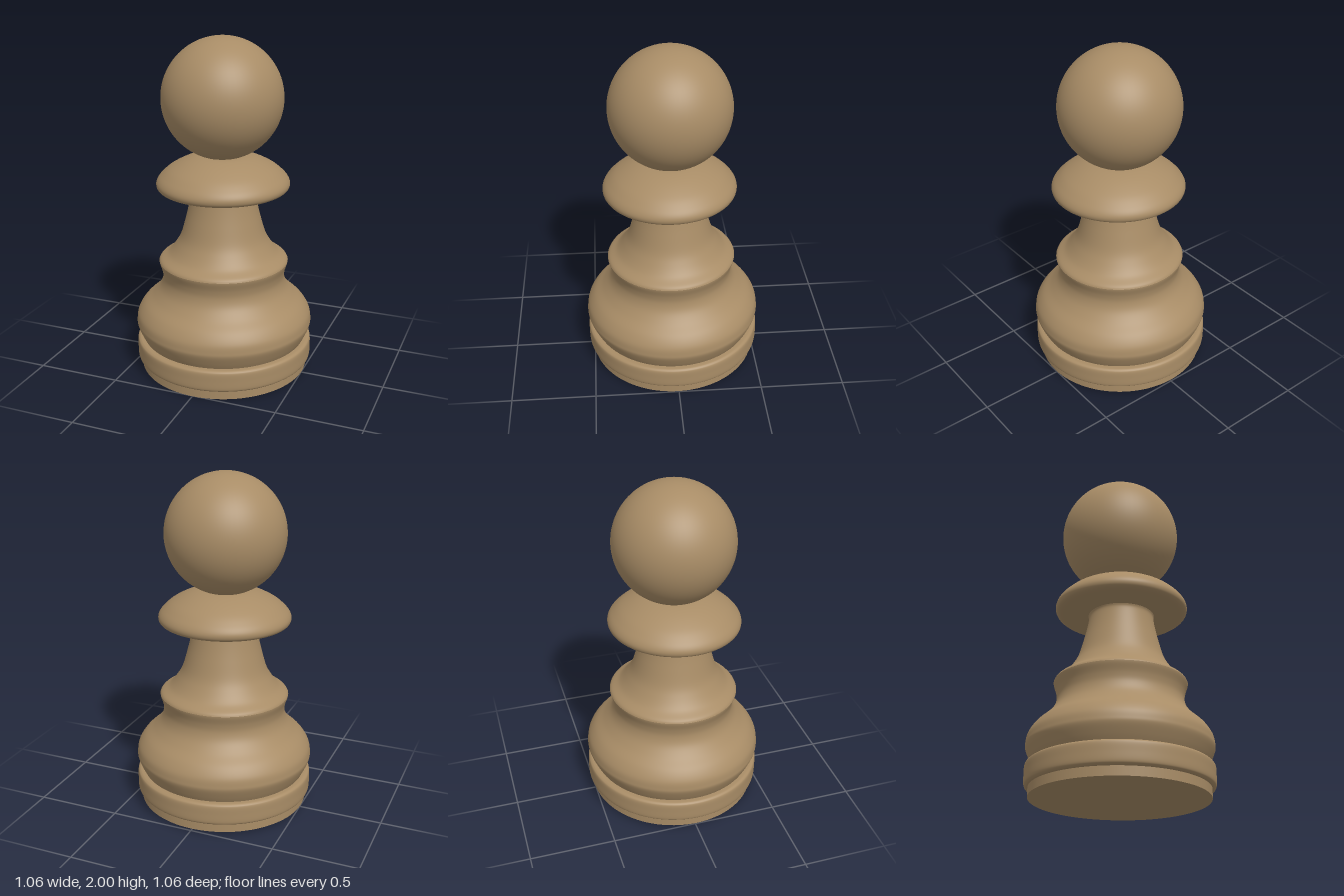
import * as THREE from 'three';

const material = new THREE.MeshStandardMaterial({ color: 0xa88c66 });
const SEGMENTS = 96;

function addMesh(parent, name, geometry) {
  const mesh = new THREE.Mesh(geometry, material);
  mesh.name = name;
  parent.add(mesh);
  return mesh;
}

// Turned part: [radius, height] points from bottom to top, smoothed by a spline
function turned(parent, name, points, samples) {
  const curve = new THREE.SplineCurve(points.map(([r, y]) => new THREE.Vector2(r, y)));
  const profile = curve.getPoints(samples);
  profile.forEach((p) => { p.x = Math.max(p.x, 0); });
  return addMesh(parent, name, new THREE.LatheGeometry(profile, SEGMENTS));
}

export function createModel() {
  const model = new THREE.Group();
  model.name = 'pawn';

  // The turned body leans very slightly forward
  const body = new THREE.Group();
  body.name = 'body';
  body.rotation.x = 0.016;
  model.add(body);

  // Flat foot disc
  addMesh(body, 'foot', new THREE.CylinderGeometry(0.504, 0.504, 0.07, SEGMENTS)).position.y = 0.043;

  // Base ring with rounded edges
  turned(body, 'baseRing', [
    [0.44, 0.06], [0.5, 0.06], [0.519, 0.066], [0.528, 0.082], [0.529, 0.13],
    [0.528, 0.175], [0.519, 0.19], [0.5, 0.195], [0.44, 0.195],
  ], 48);

  // Bulging belly, drawn in to a waist and out to the lip
  turned(body, 'belly', [
    [0.487, 0.19], [0.507, 0.23], [0.527, 0.28], [0.528, 0.31], [0.518, 0.355],
    [0.483, 0.407], [0.425, 0.46], [0.383, 0.513], [0.365, 0.566], [0.368, 0.614],
    [0.382, 0.66], [0.385, 0.675],
  ], 66);

  // Lip shoulder sweeping up into the slender neck
  turned(body, 'neck', [
    [0.385, 0.675], [0.373, 0.692], [0.325, 0.725], [0.283, 0.778], [0.25, 0.84],
    [0.221, 0.94], [0.202, 1.02], [0.191, 1.085], [0.195, 1.108],
  ], 48);

  // Domed collar
  turned(body, 'collar', [
    [0.17, 1.108], [0.26, 1.107], [0.34, 1.112], [0.378, 1.125], [0.39, 1.148],
    [0.384, 1.175], [0.36, 1.206], [0.31, 1.248], [0.23, 1.29], [0.15, 1.315],
    [0.08, 1.318], [0, 1.318],
  ], 66);

  // Ball head
  addMesh(model, 'head', new THREE.SphereGeometry(0.352, 64, 48)).position.set(-0.006, 1.648, 0.014);

  return model;
}
